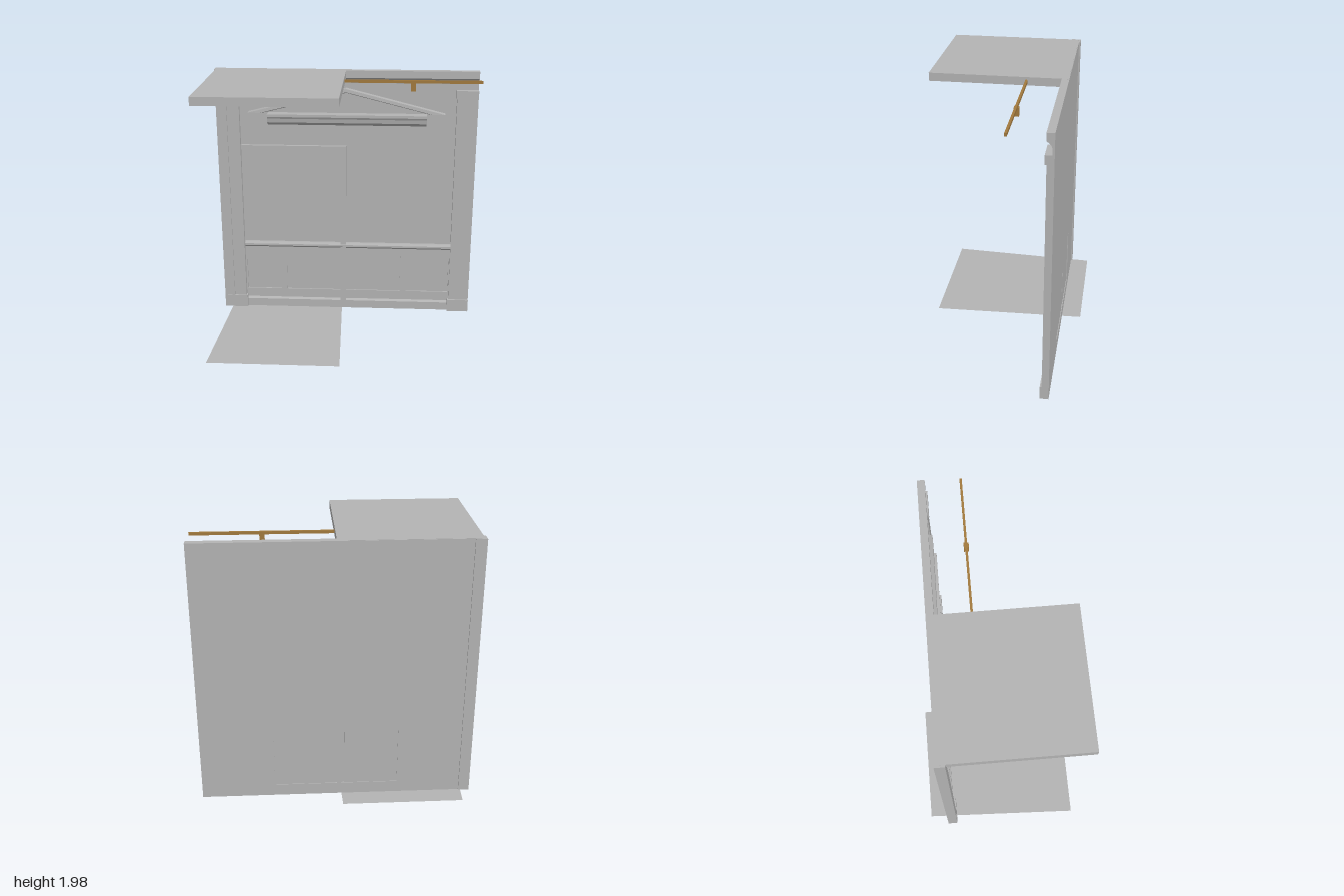
import * as THREE from 'three';

export function createModel() {
  const root = new THREE.Group();
  const plaster = new THREE.MeshStandardMaterial({ color: 0xb4b4b4 });
  plaster.name = 'grey plaster';
  const brass = new THREE.MeshStandardMaterial({ color: 0xa27a3e });
  brass.name = 'brass';
  const floorGrey = plaster.clone();
  floorGrey.name = 'floor grey';
  floorGrey.side = THREE.DoubleSide;

  const add = (name, geometry, material = plaster) => {
    const mesh = new THREE.Mesh(geometry, material);
    mesh.name = name;
    root.add(mesh);
    return mesh;
  };
  // box given by its limits on each axis
  const box = (name, x0, x1, y0, y1, z0, z1, material) =>
    add(name, new THREE.BoxGeometry(x1 - x0, y1 - y0, z1 - z0)
      .translate((x0 + x1) / 2, (y0 + y1) / 2, (z0 + z1) / 2), material);
  const rect = (Kind, x0, x1, y0, y1) => new Kind([[x0, y0], [x1, y0], [x1, y1], [x0, y1]]
    .map(([x, y]) => new THREE.Vector2(x, y)));
  // rectangular sheet with rectangular openings
  const sheet = (name, outer, holes, z0, z1) => {
    const shape = rect(THREE.Shape, ...outer);
    shape.holes = holes.map(h => rect(THREE.Path, ...h));
    add(name, new THREE.ExtrudeGeometry(shape, { depth: z1 - z0, bevelEnabled: false }).translate(0, 0, z0));
  };
  // moulding with a [z, y] profile running along x
  const moulding = (name, profile, x0, x1) => {
    const shape = new THREE.Shape(profile.map(([z, y]) => new THREE.Vector2(-z, y)));
    add(name, new THREE.ExtrudeGeometry(shape, { depth: x1 - x0, bevelEnabled: false })
      .rotateY(Math.PI / 2).translate(x0, 0, 0));
  };

  // wall with a shallow recess at the back
  sheet('wall', [-0.93, 1, 0, 1.98], [[-0.45, 0.46, 0.09, 0.53]], -0.425, -0.41);
  box('recessFill', -0.45, 0.46, 0.09, 0.53, -0.412, -0.408);
  box('recessPanelRight', -0.45, -0.055, 0.09, 0.53, -0.42, -0.412);
  box('recessStile', -0.043, -0.002, 0.09, 0.53, -0.42, -0.412);
  box('recessPanelLeft', 0.01, 0.46, 0.09, 0.53, -0.42, -0.412);

  // wainscot frame, baseboard and chair rail
  sheet('wainscotFrame', [-0.82, 0.84, 0, 0.54],
    [[-0.81, -0.53], [-0.485, -0.045], [0, 0.44], [0.49, 0.83]].map(([a, b]) => [a, b, 0.155, 0.46]), -0.41, -0.398);
  moulding('baseboard', [[-0.41, 0], [-0.385, 0], [-0.385, 0.065], [-0.398, 0.08], [-0.41, 0.08]], -0.82, 0.84);
  moulding('chairRail', [[-0.41, 0.53], [-0.395, 0.53], [-0.38, 0.545], [-0.38, 0.56],
    [-0.39, 0.575], [-0.41, 0.575]], -0.82, 0.84);

  // raised frame strips above the wainscot
  box('frameUpright', -0.045, 0, 0, 1.385, -0.41, -0.383);
  box('frameTop', -0.82, -0.045, 1.34, 1.385, -0.41, -0.383);

  // pilasters
  for (const [side, shaft, block, foot] of [
    ['left', [0.84, 1], [0.83, 1], [0.83, 1]],
    ['right', [-0.92, -0.825], [-0.92, -0.815], [-1, -0.815]],
  ]) {
    box(side + 'PilasterShaft', ...shaft, 0, 1.8, -0.42, -0.376);
    box(side + 'PilasterCapital', ...block, 1.77, 1.835, -0.42, -0.364);
    box(side + 'PilasterBase', ...foot, 0, 0.1, -0.42, -0.362);
  }
  box('cornerPost', -1, -0.92, 0, 1.98, -0.435, -0.364);

  // cornice along the wall top
  moulding('cornice', [[-0.42, 1.88], [-0.41, 1.88], [-0.405, 1.895], [-0.392, 1.912],
    [-0.372, 1.925], [-0.372, 1.98], [-0.42, 1.98]], -0.92, 1);

  // pediment: ledge and two raking mouldings meeting at the tip
  moulding('pedimentLedge', [[-0.415, 1.555], [-0.38, 1.555], [-0.348, 1.58], [-0.343, 1.61],
    [-0.335, 1.625], [-0.335, 1.645], [-0.415, 1.645]], -0.605, 0.615);
  const rake = [[0.755, -0.415], [0.755, -0.354], [0.66, -0.352], [0.62, -0.38], [0.51, -0.38], [0.51, -0.415]];
  for (const side of [-1, 1]) {
    const shape = new THREE.Shape(rake.map(([w, z]) =>
      side < 0 ? new THREE.Vector2(w, z) : new THREE.Vector2(z, w)));
    const geometry = new THREE.ExtrudeGeometry(shape, { depth: 1, bevelEnabled: false });
    const p = geometry.attributes.position;
    for (let i = 0; i < p.count; i++) {
      const [w, z] = side < 0 ? [p.getX(i), p.getY(i)] : [p.getY(i), p.getX(i)];
      const t = p.getZ(i);
      p.setXYZ(i, side * w * (1 - t), 1.652 + 0.253 * w * t, z);
    }
    geometry.computeVertexNormals();
    add(side < 0 ? 'rightRake' : 'leftRake', geometry);
  }

  // ceiling slab and floor sheet
  box('ceiling', -0.985, 0, 1.922, 1.982, -0.42, 0.57);
  const floorShape = new THREE.Shape([[-0.98, -0.57], [0, -0.57], [-0.04, 0.57], [-0.93, 0.57]]
    .map(([x, y]) => new THREE.Vector2(x, y)));
  add('floor', new THREE.ShapeGeometry(floorShape).rotateX(-Math.PI / 2), floorGrey);

  // hanging rail with two brackets
  box('rail', -0.98, 1, 1.942, 1.963, -0.135, -0.119, brass);
  for (const x of [-0.49, 0.5]) {
    box('railBracket', x - 0.018, x + 0.018, 1.885, 1.946, -0.143, -0.109, brass);
  }
  return root;
}
